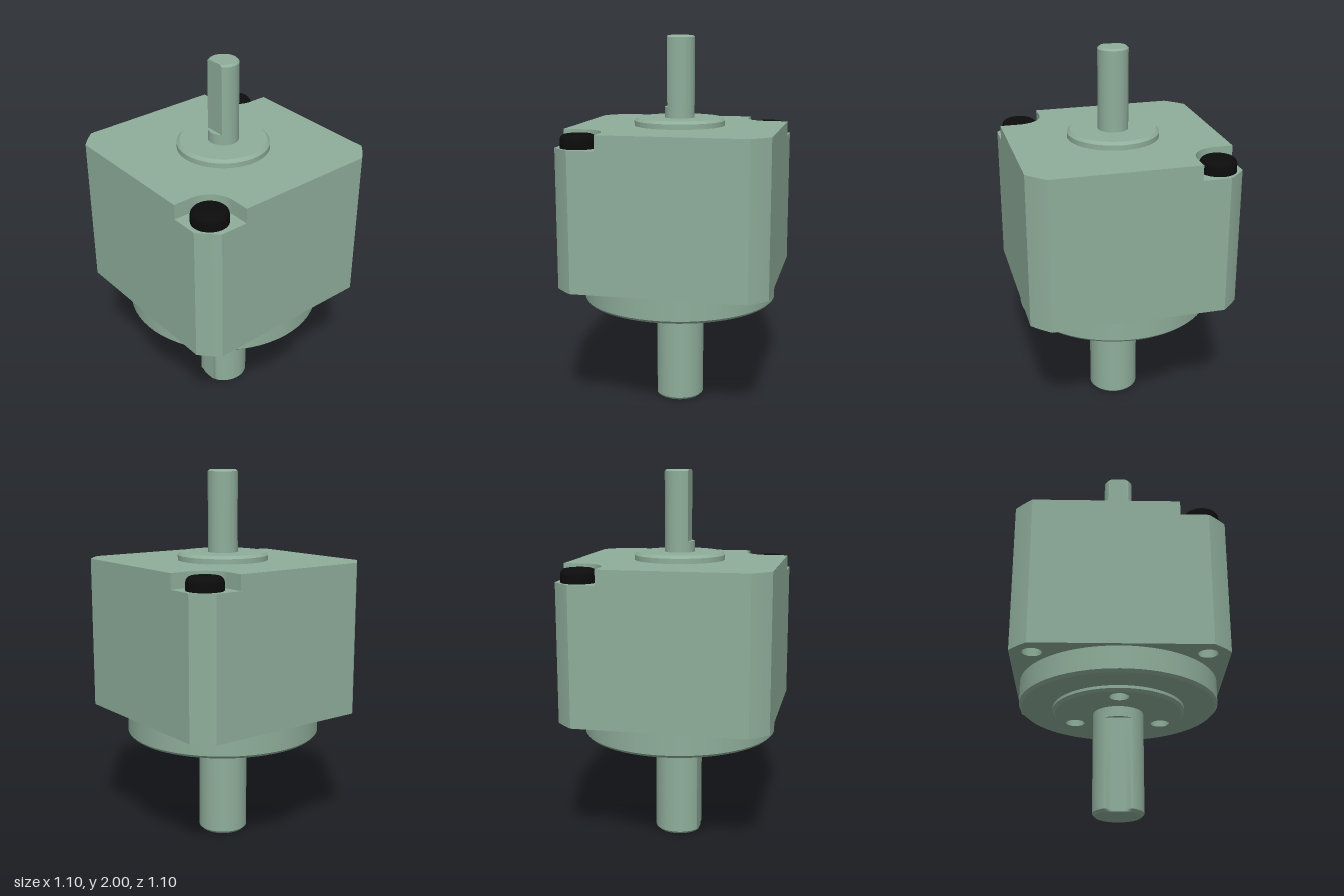
import * as THREE from 'three';
import { toCreasedNormals } from 'three/addons/utils/BufferGeometryUtils.js';

const green = new THREE.MeshStandardMaterial({ color: 0x8fae9b });
const black = new THREE.MeshStandardMaterial({ color: 0x0c0c0c });

const HALF = 0.55; // half width of the square housing
const CORNER = 0.457; // where each corner cut begins
const HOLE = 0.05;

function mesh(name, geometry, material = green) {
  const m = new THREE.Mesh(toCreasedNormals(geometry, 0.5), material);
  m.name = name;
  return m;
}

// Turned solid from [radius, y] points, bottom to top.
function turned(points, segments = 96) {
  return new THREE.LatheGeometry(points.map(([r, y]) => new THREE.Vector2(r, y)), segments);
}

// Turned shaft with a flat milled at z = flat on profile points first..last.
function flattedShaft(points, flat, first, last) {
  const g = turned(points, 128);
  const p = g.attributes.position;
  for (let i = 0; i < p.count; i++) {
    const row = i % points.length;
    if (row >= first && row <= last) p.setZ(i, Math.min(p.getZ(i), flat));
  }
  return g;
}

// Upright prism of a plan shape (shape y = -z), with optional round holes at [x, z].
function prism(shape, y0, y1, holes = [], steps = 1) {
  for (const [x, z] of holes) {
    shape.holes.push(new THREE.Path().absarc(x, -z, HOLE, 0, Math.PI * 2, true));
  }
  const g = new THREE.ExtrudeGeometry(shape, { depth: y1 - y0, steps, bevelEnabled: false, curveSegments: 32 });
  return g.rotateX(-Math.PI / 2).translate(0, y0, 0);
}

// Square plan with slightly curved corner cuts, optionally with two opposite screw pockets.
function housingShape(pockets) {
  const s = new THREE.Shape();
  const R = Math.hypot(HALF, CORNER);
  const a = Math.atan2(CORNER, HALF);
  for (let k = 0; k < 4; k++) {
    const t = k * Math.PI / 2;
    const at = (x, y) => [x * Math.cos(t) - y * Math.sin(t), x * Math.sin(t) + y * Math.cos(t)];
    if (pockets && k % 2 === 1) {
      s.lineTo(...at(HALF, 0.31));
      s.lineTo(...at(0.45, 0.31));
      s.absarc(...at(0.45, 0.45), 0.14, t - Math.PI / 2, t - Math.PI, true);
      s.lineTo(...at(0.31, HALF));
    } else {
      if (k === 0) s.moveTo(...at(HALF, CORNER));
      s.absarc(0, 0, R, t + a, t + Math.PI / 2 - a, false);
    }
  }
  s.closePath();
  return s;
}

// Round flange with holes and a chamfer around its lower rim.
function flange(radius, y0, y1, holes, steps) {
  const disc = new THREE.Shape().absarc(0, 0, radius, 0, Math.PI * 2, false);
  const g = prism(disc, y0, y1, holes, steps);
  const p = g.attributes.position;
  const k = (radius - 0.015) / radius;
  for (let i = 0; i < p.count; i++) {
    const x = p.getX(i), z = p.getZ(i);
    if (p.getY(i) < y0 + 0.001 && Math.hypot(x, z) > radius - 0.005) {
      p.setX(i, x * k);
      p.setZ(i, z * k);
    }
  }
  return g;
}

export function createModel() {
  const group = new THREE.Group();
  group.name = 'motor';

  // Housing: drilled bottom, solid middle, pocketed top
  const corners = [[1, 1], [1, -1], [-1, -1], [-1, 1]].map(([x, z]) => [x * 0.436, z * 0.436]);
  const housing = new THREE.Group();
  housing.name = 'housing';
  housing.add(
    mesh('housingBottom', prism(housingShape(false), 0.71, 0.91, corners)),
    mesh('housingMiddle', prism(housingShape(false), 0.91, 1.445)),
    mesh('housingTop', prism(housingShape(true), 1.445, 1.525)),
  );
  group.add(housing);

  // Lower flange and boss sharing three threaded holes
  const boltHoles = [90, 210, 330].map((d) => {
    const t = THREE.MathUtils.degToRad(d);
    return [0.265 * Math.cos(t), 0.265 * Math.sin(t)];
  });
  group.add(mesh('lowerFlange', flange(0.525, 0.575, 0.71, boltHoles, 9)));
  group.add(mesh('lowerBoss', flange(0.348, 0.545, 0.575, boltHoles, 2)));

  // Upper collar
  group.add(mesh('upperCollar', turned([
    [0, 1.525], [0.242, 1.525], [0.242, 1.552], [0.227, 1.567], [0, 1.567],
  ])));

  // Shafts: the doubled profile point makes the step where the flat ends
  group.add(mesh('outputShaft', flattedShaft([
    [0, 0], [0.118, 0], [0.133, 0.015], [0.133, 0.49], [0.133, 0.49], [0.133, 0.56], [0, 0.56],
  ], 0.113, 0, 3)));
  group.add(mesh('rearShaft', flattedShaft([
    [0, 1.55], [0.08, 1.55], [0.08, 1.625], [0.08, 1.625], [0.08, 1.99], [0.07, 2], [0, 2],
  ], 0.056, 3, 6)));

  // Screw heads in the two pockets
  const head = [[0, 1.445], [0.094, 1.445]];
  for (let i = 0; i <= 6; i++) {
    const t = i / 6 * Math.PI / 2;
    head.push([0.064 + 0.03 * Math.cos(t), 1.485 + 0.03 * Math.sin(t)]);
  }
  head.push([0, 1.515]);
  for (const s of [1, -1]) {
    const screw = mesh('screwHead', turned(head, 48), black);
    screw.position.set(s * 0.428, 0, s * 0.432);
    group.add(screw);
  }
  return group;
}
